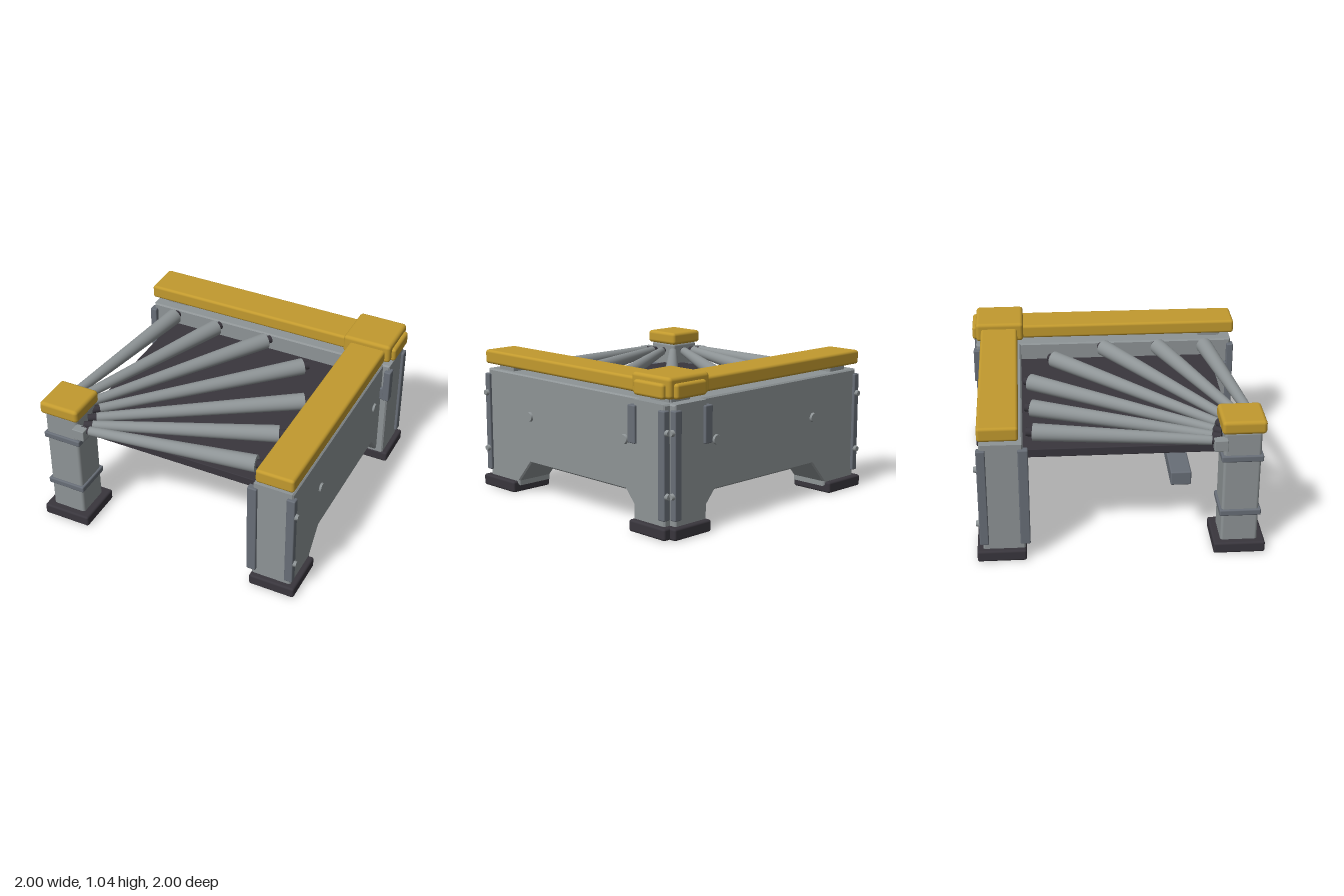
import * as THREE from 'three';
import { RoundedBoxGeometry } from 'three/addons/geometries/RoundedBoxGeometry.js';

export function createModel() {
  const model = new THREE.Group();
  model.name = 'cornerRollerConveyor';

  const mat = (name, color) => {
    const m = new THREE.MeshStandardMaterial({ color });
    m.name = name;
    return m;
  };
  const yellow = mat('yellow', 0xc29a2e);
  const grey = mat('light grey', 0x8e9496);
  const steel = mat('blue grey', 0x686e77);
  const dark = mat('near black', 0x39363d);

  const add = (parent, name, geometry, material) => {
    const mesh = new THREE.Mesh(geometry, material);
    mesh.name = name;
    parent.add(mesh);
    return mesh;
  };
  // Rounded box given by its minimum and maximum corners
  const box = (parent, name, material, [x0, y0, z0], [x1, y1, z1], r = 0.01) => {
    const mesh = add(parent, name, new RoundedBoxGeometry(x1 - x0, y1 - y0, z1 - z0, 2, r), material);
    mesh.position.set((x0 + x1) / 2, (y0 + y1) / 2, (z0 + z1) / 2);
    return mesh;
  };
  // Tapered cylinder between two points
  const rod = (parent, name, material, a, b, ra, rb, sides = 20) => {
    const dir = b.clone().sub(a);
    const mesh = add(parent, name, new THREE.CylinderGeometry(rb, ra, dir.length(), sides), material);
    mesh.position.copy(a).add(b).multiplyScalar(0.5);
    mesh.quaternion.setFromUnitVectors(new THREE.Vector3(0, 1, 0), dir.normalize());
    return mesh;
  };

  // Wall with arched underside, outside facing -z; corner tells which end meets the other wall
  function sideWall(corner) {
    const wall = new THREE.Group();
    wall.name = 'sideWall';

    const shape = new THREE.Shape([
      [-0.95, 0.06], [-0.64, 0.06], [-0.64, 0.09], [-0.5, 0.25], [0.5, 0.25], [0.64, 0.09],
      [0.64, 0.06], [0.95, 0.06], [0.95, 0.855], [-0.95, 0.855],
    ].map(([x, y]) => new THREE.Vector2(x, y)));
    const panel = add(wall, 'archedPanel', new THREE.ExtrudeGeometry(shape, {
      depth: 0.265, bevelThickness: 0.01, bevelSize: 0.01, bevelSegments: 1,
    }), grey);
    panel.position.z = -0.9;

    // Inner rail and top handrail
    box(wall, 'innerRail', steel, [-0.975, 0.58, -0.65], [0.975, 0.68, -0.597]);
    box(wall, 'handrail', yellow, [-0.985, 0.9, -0.92], [0.985, 1.0, -0.65], 0.02);

    for (const s of [-1, 1]) {
      const span = (a, b) => (s > 0 ? [a, b] : [-b, -a]);
      // Rubber foot
      const [f0, f1] = span(0.645, 0.998);
      box(wall, 'foot', dark, [f0, 0, -0.95], [f1, 0.08, -0.62], 0.015);
      // Corner trims
      const [t0, t1] = span(0.93, 0.98);
      box(wall, 'outerTrim', steel, [t0, 0.12, -0.93], [t1, 0.83, -0.87], 0.008);
      box(wall, 'innerTrim', steel, [t0, s === corner ? 0.58 : 0.12, -0.66], [t1, 0.83, -0.592], 0.008);
      // Spacer under the handrail
      const [p0, p1] = span(0.72, 0.88);
      box(wall, 'handrailSpacer', grey, [p0, 0.85, -0.87], [p1, 0.91, -0.7], 0.005);
      // Bolts
      for (const y of [0.28, 0.69]) {
        rod(wall, 'trimBolt', grey, new THREE.Vector3(s * 0.955, y, -0.92),
          new THREE.Vector3(s * 0.955, y, -0.95), 0.025, 0.018, 14);
      }
      rod(wall, 'panelBolt', grey, new THREE.Vector3(s * 0.49, 0.575, -0.9),
        new THREE.Vector3(s * 0.49, 0.575, -0.925), 0.037, 0.03, 18);
    }
    return wall;
  }

  const backWall = sideWall(1);
  backWall.name = 'backWall';
  const leftWall = sideWall(-1);
  leftWall.name = 'leftWall';
  leftWall.rotation.y = -Math.PI / 2;
  model.add(backWall, leftWall);
  box(model, 'cornerCap', yellow, [0.6, 0.9, -0.957], [0.957, 1.04, -0.605], 0.025);

  // Deck under the rollers and its brace
  box(model, 'deck', dark, [-0.8, 0.68, -0.65], [0.65, 0.74, 0.8], 0.005);
  box(model, 'deckBrace', steel, [-0.8, 0.43, 0.36], [0.65, 0.53, 0.5]);

  // Inner corner post
  const post = new THREE.Group();
  post.name = 'innerPost';
  model.add(post);
  box(post, 'postBody', grey, [-0.95, 0.06, 0.69], [-0.7, 0.895, 0.94], 0.02);
  box(post, 'postFoot', dark, [-0.998, 0, 0.64], [-0.645, 0.08, 0.99], 0.015);
  box(post, 'postCap', yellow, [-0.975, 0.89, 0.67], [-0.68, 0.985, 0.965], 0.025);
  for (const y of [0.295, 0.705]) {
    box(post, 'postBand', steel, [-0.965, y - 0.023, 0.675], [-0.685, y + 0.023, 0.955], 0.01);
  }
  box(post, 'rollerBracket', grey, [-0.71, 0.78, 0.92], [-0.62, 0.86, 0.99], 0.005);
  box(post, 'rollerBracket', grey, [-0.99, 0.78, 0.62], [-0.92, 0.86, 0.71], 0.005);

  // Fan of tapered rollers, mirrored about the diagonal
  const half = [
    [-0.93, 0.64, -0.745, -0.6],
    [-0.87, 0.65, -0.385, -0.6],
    [-0.79, 0.67, 0.03, -0.6],
  ];
  const fan = [...half, [-0.7, 0.7, 0.415, -0.415], ...half.map(([a, b, c, d]) => [-b, -a, -d, -c])];
  for (const [x0, z0, x1, z1] of fan) {
    const a = new THREE.Vector3(x0, 0.835, z0);
    const b = new THREE.Vector3(x1, 0.845, z1);
    const dir = b.clone().sub(a).normalize();
    rod(model, 'rollerAxle', dark, a.clone().addScaledVector(dir, -0.03), b, 0.026, 0.03, 12);
    rod(model, 'roller', grey, a.clone().addScaledVector(dir, 0.03),
      b.clone().addScaledVector(dir, -0.045), 0.032, 0.06, 28);
  }
  return model;
}
